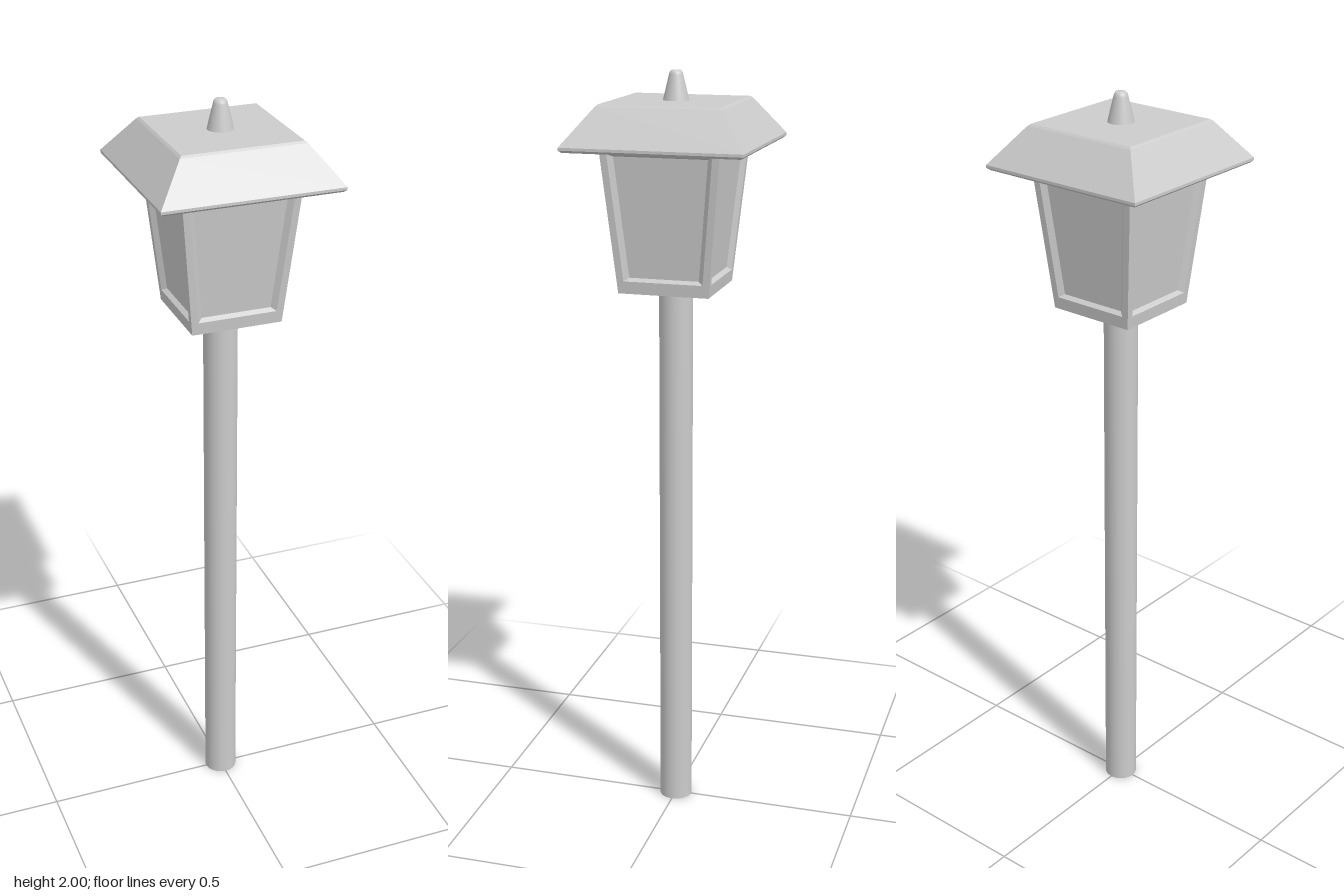
import * as THREE from 'three';

const grey = new THREE.MeshStandardMaterial({ color: 0xcccccc });
const greyFlat = new THREE.MeshStandardMaterial({ color: 0xcccccc, flatShading: true });

function addMesh(parent, name, geometry, material = grey) {
  const mesh = new THREE.Mesh(geometry, material);
  mesh.name = name;
  parent.add(mesh);
  return mesh;
}

// Square solid from a bottom-to-top profile of [half width, height]
function squareLathe(profile) {
  const points = profile.map(([half, y]) => new THREE.Vector2(half * Math.SQRT2, y));
  return new THREE.LatheGeometry(points, 4, Math.PI / 4);
}

// Lantern housing
const BASE = 1.454, TOP = 1.82;
const halfAt = (y) => 0.118 + (y - BASE) * 0.097;

// One ring of four corners on the leaning +z face, inset from the side edges
function faceRing(y0, y1, inset, depth) {
  return [[-1, y0], [1, y0], [1, y1], [-1, y1]].map(
    ([side, y]) => [side * (halfAt(y) - inset), y, halfAt(y) - depth]);
}

// One housing side: flat frame, bevelled step, sunken pane
function lanternSide() {
  const rings = [
    faceRing(BASE, TOP, 0, 0),
    faceRing(1.486, 1.806, 0.018, 0),
    faceRing(1.494, 1.8, 0.031, 0.012),
  ];
  const positions = [];
  const quad = (a, b, c, d) => positions.push(...a, ...b, ...c, ...a, ...c, ...d);
  for (let r = 0; r < 2; r++) {
    for (let i = 0; i < 4; i++) {
      const j = (i + 1) % 4;
      quad(rings[r][i], rings[r][j], rings[r + 1][j], rings[r + 1][i]);
    }
  }
  quad(...rings[2]);
  const geometry = new THREE.BufferGeometry();
  geometry.setAttribute('position', new THREE.Float32BufferAttribute(positions, 3));
  geometry.computeVertexNormals();
  return geometry;
}

export function createModel() {
  const lamp = new THREE.Group();
  lamp.name = 'gardenLamp';

  // Round post
  const post = addMesh(lamp, 'post', new THREE.CylinderGeometry(0.044, 0.044, BASE, 32));
  post.position.y = BASE / 2;

  // Tapered lantern with four framed panes
  const lantern = new THREE.Group();
  lantern.name = 'lantern';
  lamp.add(lantern);
  const side = lanternSide();
  for (let i = 0; i < 4; i++) {
    addMesh(lantern, `framedPane${i + 1}`, side, greyFlat).rotation.y = i * Math.PI / 2;
  }
  addMesh(lantern, 'lanternFloor', squareLathe([[0, BASE], [halfAt(BASE), BASE]]), greyFlat);

  // Hipped roof with a thin lip, softened top edge and flat underside
  addMesh(lamp, 'roof', squareLathe([
    [0, 1.815], [0.224, 1.815], [0.231, 1.821], [0.231, 1.828],
    [0.159, 1.921], [0.153, 1.926], [0, 1.926],
  ]), greyFlat);

  // Tapered finial with a rounded tip
  const finial = [[0.033, 1.92], [0.033, 1.926], [0.018, 1.988], [0.0165, 1.994], [0.012, 1.999], [0, 2]];
  addMesh(lamp, 'finial', new THREE.LatheGeometry(finial.map((p) => new THREE.Vector2(...p)), 32));

  return lamp;
}
